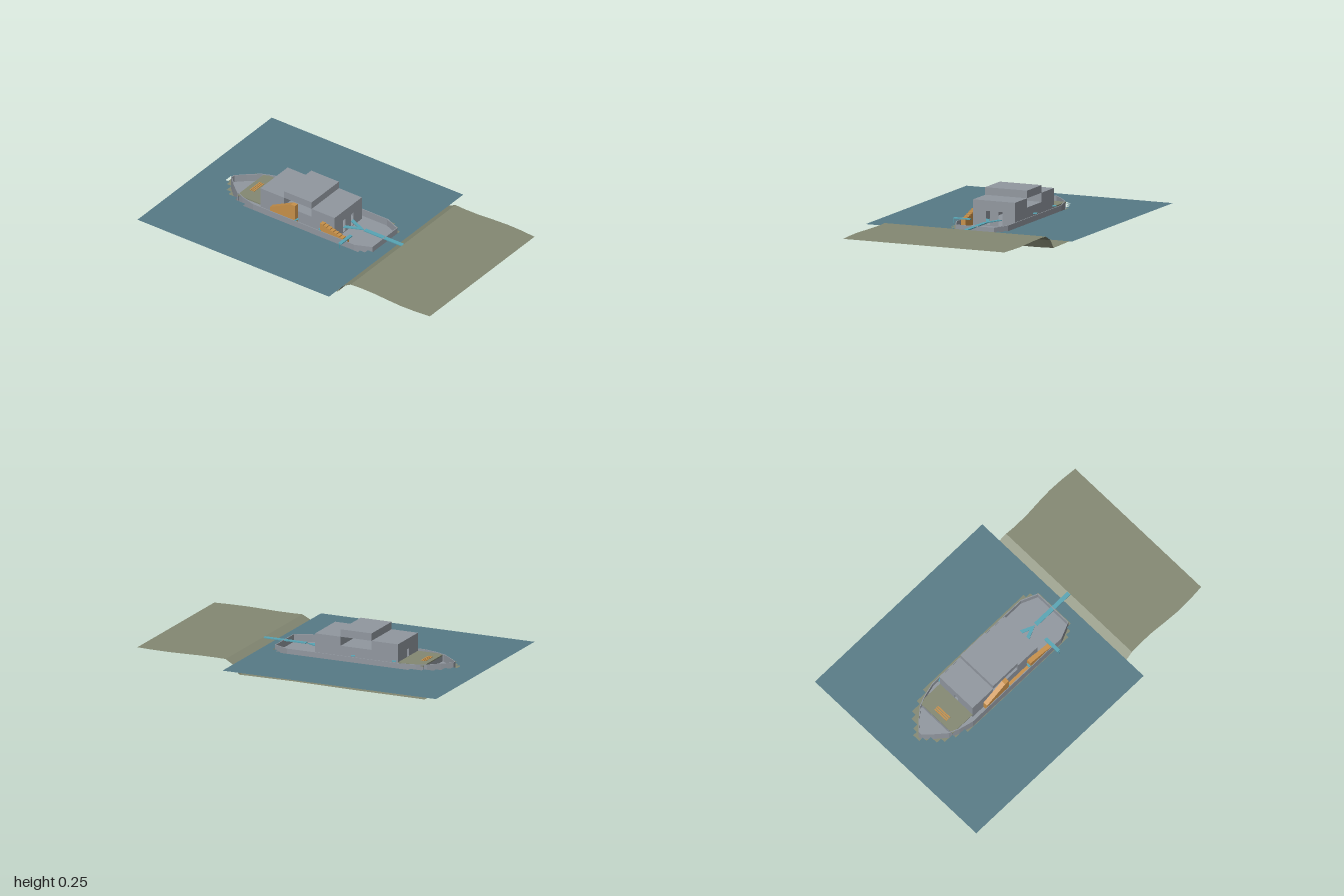
import * as THREE from 'three';

export function createModel() {
  const root = new THREE.Group();
  const mat = (name, color, double = true) => {
    const m = new THREE.MeshStandardMaterial({ color });
    m.name = name;
    if (double) m.side = THREE.DoubleSide;
    return m;
  };
  const water = mat('water blue', 0x577b87);
  const olive = mat('sand olive', 0x848973);
  const grey = mat('hull grey', 0x9298a0);
  const orange = mat('stair orange', 0xc8914a);
  const cyan = mat('walkway cyan', 0x58a5b5);

  const add = (name, geo, material, parent = root) => {
    const m = new THREE.Mesh(geo, material);
    m.name = name;
    parent.add(m);
    return m;
  };
  // box given by its limits
  const box = (name, x0, x1, y0, y1, z0, z1, material, parent) => {
    const m = add(name, new THREE.BoxGeometry(x1 - x0, y1 - y0, z1 - z0), material, parent);
    m.position.set((x0 + x1) / 2, (y0 + y1) / 2, (z0 + z1) / 2);
    return m;
  };
  const shapeOf = pts => new THREE.Shape(pts.map(p => new THREE.Vector2(p[0], p[1])));
  // mirror a half outline (x, z) and lay it flat, shape y = -z
  const plan = half => shapeOf([
    ...half.map(([x, z]) => [x, -z]),
    ...half.slice().reverse().map(([x, z]) => [-x, -z]),
  ]);
  const flat = (shape, depth) => (depth
    ? new THREE.ExtrudeGeometry(shape, { depth, bevelEnabled: false })
    : new THREE.ShapeGeometry(shape)).rotateX(-Math.PI / 2);
  // side profile (z, y) extruded along x from x0 to x1
  const profile = (name, pts, x0, x1, material, parent) => {
    const g = new THREE.ExtrudeGeometry(shapeOf(pts.map(([z, y]) => [-z, y])),
      { depth: x1 - x0, bevelEnabled: false }).rotateY(Math.PI / 2);
    const m = add(name, g, material, parent);
    m.position.x = x0;
    return m;
  };

  // seabed, bank and shore: one strip swept along z with gentle waves
  const section = [[-0.86, 0.0135], [-0.4, 0.0135], [0, 0.0135], [0.34, 0.0135], [0.375, 0.065],
    [0.43, 0.095], [0.5, 0.095], [0.6, 0.095], [0.7, 0.095], [0.8, 0.095], [0.9, 0.095], [1, 0.095]];
  const nx = 32;
  const ground = new THREE.PlaneGeometry(1, 1, nx, section.length - 1).rotateX(-Math.PI / 2);
  const gp = ground.attributes.position;
  for (let i = 0; i < gp.count; i++) {
    const [z, y] = section[Math.floor(i / (nx + 1))];
    const edge = 0.522 + 0.008 * Math.cos((z - 0.82) * 11);
    const x = gp.getX(i) * 2 * edge;
    const wave = y < 0.05 ? 0.003 * Math.cos((x + 0.4) * 11.9) : 0;
    gp.setXYZ(i, x, y + wave, z);
  }
  const groundFlat = ground.toNonIndexed();
  groundFlat.computeVertexNormals();
  add('ground', groundFlat, olive);

  // water sheet with a stepped opening around the boat
  const sheet = shapeOf([[-0.665, -0.38], [0.665, -0.38], [0.665, 1], [-0.665, 1]]);
  sheet.holes.push(plan([
    [0.025, -0.83], [0.025, -0.8], [0.055, -0.8], [0.055, -0.765], [0.105, -0.765], [0.105, -0.73],
    [0.135, -0.73], [0.135, -0.665], [0.16, -0.665], [0.16, -0.59], [0.185, -0.59], [0.185, 0.24],
    [0.165, 0.24], [0.165, 0.275], [0.135, 0.275], [0.135, 0.31],
  ]));
  add('water', flat(sheet), water).position.y = 0.069;

  // hull with a sunken deck and a thin bulwark
  const boat = new THREE.Group();
  boat.name = 'boat';
  root.add(boat);
  const half = [[0.012, -0.8], [0.065, -0.745], [0.12, -0.68], [0.145, -0.62], [0.168, -0.53],
    [0.168, 0.2], [0.125, 0.3]];
  add('hull', flat(plan(half), 0.035), grey, boat).position.y = 0.015;
  const rim = plan(half);
  rim.holes.push(plan(half.map(([x, z]) => [x * 0.97, -0.25 + (z + 0.25) * 0.99])));
  add('bulwark', flat(rim, 0.045), grey, boat).position.y = 0.05;

  // cabin: side walls, end walls with doors, floors and roofs
  const cabin = new THREE.Group();
  cabin.name = 'cabin';
  boat.add(cabin);
  const W = 0.135, T = 0.006, F = 0.035, B = -0.5, N0 = -0.13, N1 = -0.33;
  const side = [[F, 0.05], [F, 0.2], [N0, 0.2], [N0, 0.145], [N1, 0.145], [N1, 0.2], [B, 0.2], [B, 0.05]];
  profile('leftWall', side, W - T, W, grey, cabin);
  profile('rightWall', side, -W, -W + T, grey, cabin);
  const endWall = (name, z, doors, y0) => {
    const s = shapeOf([[-W, 0.05], [W, 0.05], [W, 0.2], [-W, 0.2]]);
    for (const d of doors) {
      s.holes.push(shapeOf([[d - 0.013, y0], [d + 0.013, y0], [d + 0.013, 0.138], [d - 0.013, 0.138]]));
    }
    add(name, new THREE.ExtrudeGeometry(s, { depth: T, bevelEnabled: false }), grey, cabin).position.z = z;
  };
  endWall('frontWall', F - T, [-0.04, 0.04], 0.055);
  endWall('backWall', B, [0], 0.092);
  box('middleFloor', -W, W, 0.139, 0.145, N1, N0, grey, cabin);
  box('frontRoof', -W, W, 0.194, 0.2, N0, F, grey, cabin);
  box('backRoof', -W, W, 0.194, 0.2, B, N1, grey, cabin);
  box('upperCabin', -W, W, 0.2, 0.245, N1, N0, grey, cabin);
  box('frontPartition', -W, W, 0.139, 0.2, N0, N0 + T, grey, cabin);
  box('backPartition', -W, W, 0.139, 0.2, N1 - T, N1, grey, cabin);

  // raised aft deck with a hatch ladder
  box('aftDeck', -W, W, 0.084, 0.091, -0.665, B, olive, boat);
  box('aftDeckWall', -W, W, 0.05, 0.084, -0.665, -0.66, grey, boat);
  for (const z of [-0.632, -0.62, -0.608]) {
    box('hatchRung', -0.055, 0.045, 0.091, 0.094, z - 0.004, z + 0.004, orange, boat);
  }

  // outside stairs along the cabin
  const steps = [[-0.05, 0.05], [0.14, 0.05]];
  const n = 8;
  for (let i = 0; i < n; i++) {
    const y = 0.098 + 0.047 * i / (n - 1);
    steps.push([0.14 - 0.19 * i / n, y], [0.14 - 0.19 * (i + 1) / n, y]);
  }
  profile('frontStair', steps, -0.164, -W, orange, boat);
  profile('backStair', [[-0.23, 0.05], [-0.23, 0.195], [-0.26, 0.195], [-0.41, 0.12], [-0.41, 0.05]],
    -0.164, -W, orange, boat);
  box('stairFloor', -0.164, -W, 0.05, 0.06, -0.23, -0.05, orange, boat);

  // gangway to the shore, forked toward the two front doors
  box('gangway', -0.013, 0.013, 0.089, 0.0945, 0.155, 0.8, cyan);
  box('gangwayArm', -0.22, 0, 0.089, 0.0945, 0.49, 0.51, cyan);
  for (const s of [-1, 1]) {
    const fork = flat(shapeOf([[0, -0.15], [s * 0.052, -0.035], [s * 0.027, -0.035], [0, -0.105]]), 0.005);
    add('gangwayFork', fork, cyan).position.y = 0.087;
  }

  // side landing on posts
  box('landing', -0.215, -0.105, 0.097, 0.103, 0.12, 0.142, cyan);
  for (const x of [-0.218, -0.16]) box('landingPost', x - 0.002, x + 0.002, 0, 0.1, 0.129, 0.133, cyan);

  // small door sills beside the cabin
  for (const [x, z] of [[-0.152, -0.05], [-0.152, -0.23], [0.147, -0.215], [0.145, -0.48]]) {
    const sill = box('doorSill', x - 0.012, x + 0.012, 0.096, 0.1, z - 0.012, z + 0.012, cyan);
    sill.rotation.y = x > 0 ? 0.4 : -0.4;
  }
  return root;
}
